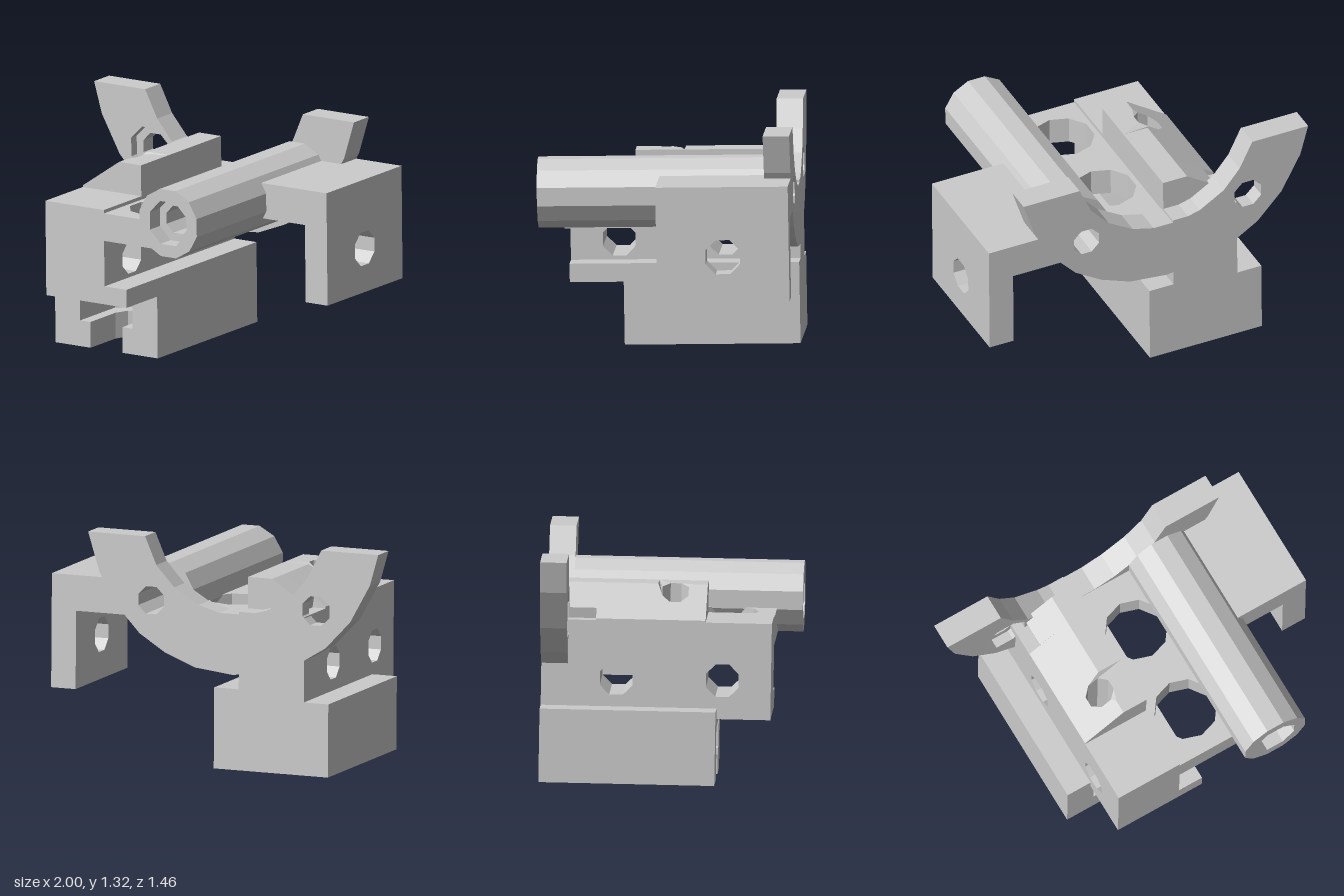
import * as THREE from 'three';

const material = new THREE.MeshStandardMaterial({ color: 0xcccccc, flatShading: true });
const BACK = -0.725;

const shapeOf = (points) => new THREE.Shape(points.map(([x, y]) => new THREE.Vector2(x, y)));
const rect = (u0, v0, u1, v1) => shapeOf([[u0, v0], [u1, v0], [u1, v1], [u0, v1]]);

// polygonal hole with a given number of sides
function hole(shape, u, v, r, sides = 8) {
  const pts = [];
  for (let i = 0; i < sides; i++) {
    const a = -((i + 0.5) / sides) * Math.PI * 2;
    pts.push(new THREE.Vector2(u + r * Math.cos(a), v + r * Math.sin(a)));
  }
  shape.holes.push(new THREE.Path(pts));
  return shape;
}

function arc(cx, cy, r, a0, a1, n) {
  const pts = [];
  for (let i = 0; i <= n; i++) {
    const a = THREE.MathUtils.degToRad(a0 + ((a1 - a0) * i) / n);
    pts.push([cx + r * Math.cos(a), cy + r * Math.sin(a)]);
  }
  return pts;
}

// extrude between two positions along an axis; for x and y the shape uses -z as one coordinate
function extrude(shape, axis, from, to) {
  const g = new THREE.ExtrudeGeometry(shape, { depth: to - from, bevelEnabled: false });
  g.translate(0, 0, from);
  if (axis === 'x') g.rotateY(Math.PI / 2);
  if (axis === 'y') g.rotateX(-Math.PI / 2);
  return g;
}

export function createModel() {
  const model = new THREE.Group();
  const part = new THREE.Group();
  part.name = 'mountBracket';
  model.add(part);
  const add = (name, geometry) => {
    const mesh = new THREE.Mesh(geometry, material);
    mesh.name = name;
    part.add(mesh);
  };
  const box = (name, x0, x1, y0, y1, z0, z1) => {
    const g = new THREE.BoxGeometry(x1 - x0, y1 - y0, z1 - z0);
    add(name, g.translate((x0 + x1) / 2, (y0 + y1) / 2, (z0 + z1) / 2));
  };

  // base block: screw slot, nut slot above it, and a wide blind hole from below
  const slotted = (x0, x1, end) => shapeOf([
    [-0.7, -0.27], [x0, -0.27], ...end, [x1, -0.27], [0, -0.27], [0, -BACK], [-0.7, -BACK],
  ]);
  const roundEnd = arc(-0.35, -0.02, 0.11, 180, 0, 4);
  add('baseLower', extrude(hole(slotted(-0.46, -0.24, roundEnd), -0.35, 0.42, 0.227, 10), 'y', 0, 0.15));
  const nutEnd = [[-0.53, 0.08], [-0.45, 0.15], [-0.25, 0.15], [-0.17, 0.08]];
  add('baseNutSlot', extrude(hole(slotted(-0.53, -0.17, nutEnd), -0.35, 0.42, 0.227, 10), 'y', 0.15, 0.31));
  add('baseTop', extrude(hole(rect(-0.7, -0.27, 0, -BACK), -0.35, -0.02, 0.08), 'y', 0.31, 0.42));
  box('baseLip', -0.15, 0, 0.36, 0.465, BACK, 0.575);

  // upright body: cross holes at both ends, a vertical screw hole between them
  add('bodyRear', extrude(hole(rect(0.08, 0.36, -BACK, 0.91), 0.3, 0.58, 0.1), 'x', -0.55, -0.15));
  add('bodyMiddle', extrude(hole(rect(-0.55, -0.13, -0.15, 0.08), -0.35, -0.02, 0.08), 'y', 0.36, 0.91));
  add('bodyFront', extrude(hole(rect(-0.575, 0.36, -0.13, 0.91), -0.3, 0.58, 0.1), 'x', -0.55, -0.15));

  // sloped crest on the body, cleared for the nut near the cradle
  const crest = [[-0.55, 0.91], [-0.15, 0.91], [-0.15, 1.09], [-0.3, 1.09], [-0.55, 0.92]];
  const cleared = [[-0.47, 0.91], [-0.15, 0.91], [-0.15, 1.09], [-0.3, 1.09], [-0.48, 0.97]];
  add('crestRear', extrude(shapeOf(cleared), 'z', -0.6, -0.42));
  add('crest', extrude(shapeOf(crest), 'z', -0.42, -0.08));
  add('crestFront', extrude(shapeOf(crest), 'z', 0.12, 0.2));
  const drilled = shapeOf([[-0.55, -0.12], [-0.3, -0.12], [-0.15, -0.12], [-0.15, 0.08], [-0.3, 0.08], [-0.55, 0.08]]);
  const top = extrude(hole(drilled, -0.35, -0.02, 0.08), 'y', 0.91, 1.09);
  const p = top.attributes.position;
  for (let i = 0; i < p.count; i++) {
    if (p.getY(i) > 1) p.setY(i, Math.min(1.09, 0.92 + (p.getX(i) + 0.55) * 0.68));
  }
  top.computeVertexNormals();
  add('crestScrewHole', top);

  // platform with two large vertical holes, joined to the tube
  const deck = rect(-0.15, -0.575, 0.26, -BACK);
  hole(deck, 0.05, 0.25, 0.18, 10);
  hole(deck, 0.05, -0.3, 0.18, 10);
  add('platform', extrude(deck, 'y', 0.73, 0.89));
  box('platformWeb', 0.25, 0.42, 0.73, 0.82, -0.6, 0.575);

  // curved cradle plate at the back
  const cradle = (r) => {
    const s = shapeOf([
      [-1, 1.3], [-0.95, 1.12], [-0.83, 0.9], [-0.68, 0.74], [-0.55, 0.66], [-0.34, 0.57],
      [-0.11, 0.545], [0.12, 0.57], [0.3, 0.64], [0.46, 0.74], [0.61, 0.9], [0.71, 1.08], [0.78, 1.3],
      [0.43, 1.3], [0.36, 1.14], [0.25, 1.02], [0.1, 0.93], [-0.03, 0.895],
      [-0.19, 0.895], [-0.32, 0.93], [-0.47, 1.02], [-0.57, 1.14], [-0.65, 1.3],
    ]);
    hole(s, -0.62, 0.95, r);
    return hole(s, 0.39, 0.935, 0.085);
  };
  add('cradleBack', extrude(cradle(0.09), 'z', BACK, -0.63));
  add('cradleFront', extrude(cradle(0.14), 'z', -0.63, -0.575));

  // long tube with a counterbored front end
  const ring = (r) => hole(shapeOf(arc(0.39, 0.935, 0.203, 15, 345, 11)), 0.39, 0.935, r);
  add('tube', extrude(ring(0.085), 'z', -0.575, 0.62));
  add('tubeCounterbore', extrude(ring(0.135), 'z', 0.62, 0.72));

  // side arm and its drilled hanging leg
  box('sideArm', 0.52, 0.86, 0.84, 1.045, BACK, 0.025);
  add('sideLeg', extrude(hole(rect(-0.025, 0.39, -BACK, 1.045), 0.35, 0.645, 0.105), 'x', 0.85, 1));

  // slight backward tilt of the whole part
  part.rotation.x = 0.017;
  part.position.set(0, 0.005, -0.005);
  return model;
}
